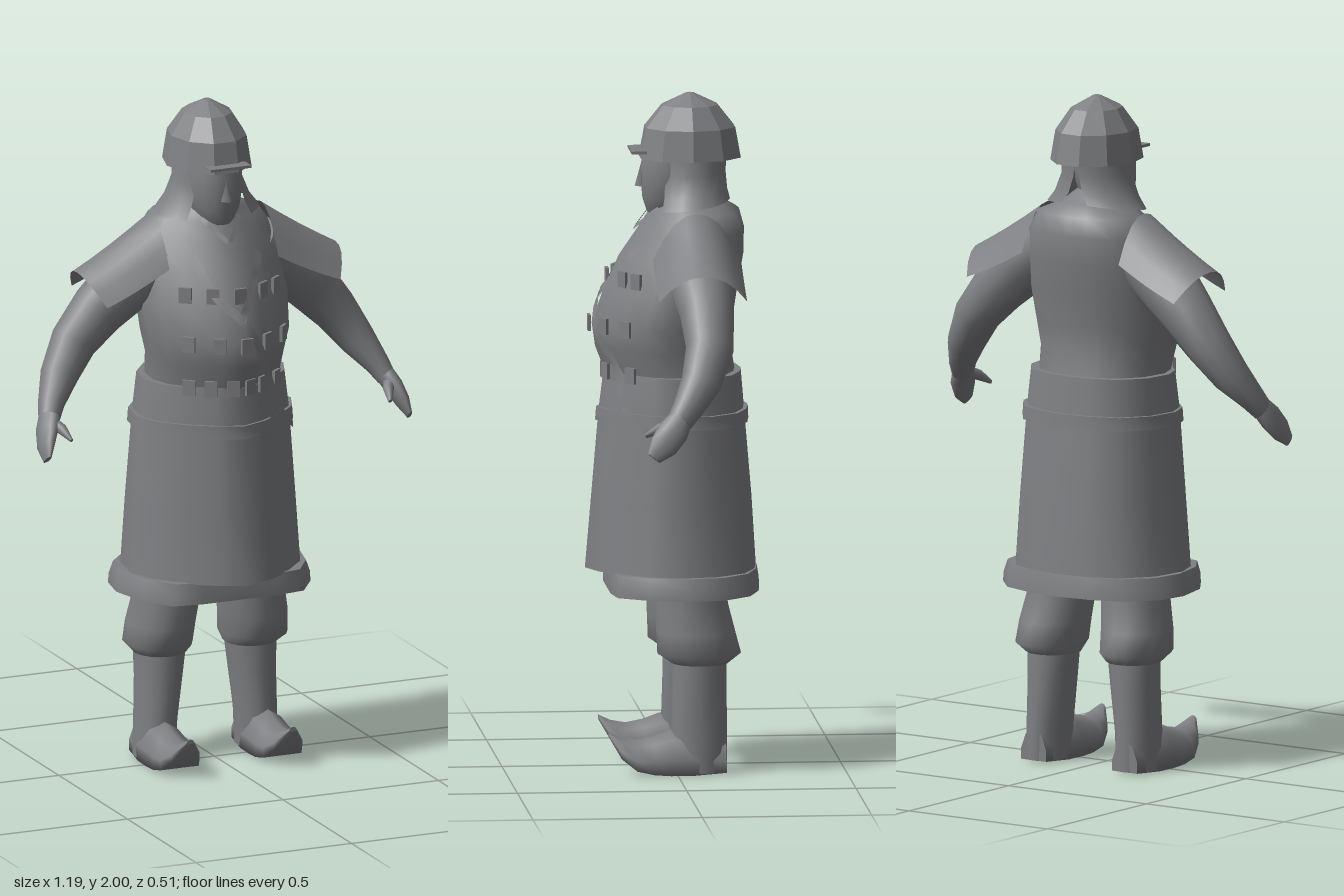
import * as THREE from 'three';

const grey = new THREE.MeshStandardMaterial({ color: 0x7f8083, side: THREE.DoubleSide });
grey.name = 'plain grey';

// Skin a list of equal-length point rows; closed rows join end to end, caps fill both ends.
function skin(name, rows, { closed = true, caps = true, flat = false } = {}) {
  const n = rows[0].length, pos = rows.flat(2);
  let tris = [];
  for (let i = 0; i < rows.length - 1; i++) {
    for (let j = 0; j < (closed ? n : n - 1); j++) {
      const a = i * n + j, b = i * n + (j + 1) % n;
      tris.push([a, b, a + n], [b, b + n, a + n]);
    }
  }
  if (closed && caps) {
    [rows[0], rows[rows.length - 1]].forEach((row, end) => {
      const base = pos.length / 3;
      row.forEach(p => pos.push(...p));
      for (let k = 0; k < 3; k++) pos.push(row.reduce((s, p) => s + p[k], 0) / n);
      for (let j = 0; j < n; j++) {
        const k = (j + 1) % n;
        tris.push(end ? [base + j, base + k, base + n] : [base + k, base + j, base + n]);
      }
    });
  }
  // Turn faces outward using the enclosed volume
  if (closed) {
    const v = i => new THREE.Vector3().fromArray(pos, i * 3);
    const c = v(0);
    const vol = tris.reduce((s, [a, b, d]) => s + v(a).sub(c).dot(v(b).sub(c).cross(v(d).sub(c))), 0);
    if (vol < 0) tris = tris.map(([a, b, d]) => [a, d, b]);
  }
  let geo = new THREE.BufferGeometry();
  geo.setAttribute('position', new THREE.Float32BufferAttribute(pos, 3));
  geo.setIndex(tris.flat());
  if (flat) geo = geo.toNonIndexed();
  geo.computeVertexNormals();
  const mesh = new THREE.Mesh(geo, grey);
  mesh.name = name;
  return mesh;
}

// Half outlines of the body, front to back: a ridged front and a flat front
const ridged = [[0, 1], [.3, .87], [.62, .64], [.88, .34], [1, 0], [.94, -.45], [.7, -.8], [.35, -.95], [0, -1]];
const flatFront = [[0, 1], [.4, 1], [.7, .94], [.9, .55], [1, 0], [.94, -.45], [.7, -.8], [.35, -.95], [0, -1]];
const rounded = Array.from({ length: 9 }, (_, i) => [Math.sin(i * Math.PI / 8), Math.cos(i * Math.PI / 8)]);

// Horizontal ring from [y, half width, front z, back z]
function ring(half, [y, w, zf, zb]) {
  const full = [...half, ...half.slice(1, -1).reverse().map(([u, v]) => [-u, v])];
  const mid = (zf + zb) / 2, d = (zf - zb) / 2;
  return full.map(([u, v]) => [u * w, y, mid + v * d]);
}
const body = (name, half, sections, options) => skin(name, sections.map(s => ring(half, s)), options);

const torsoSections = [
  [1.16, .2, .19, -.19], [1.25, .207, .225, -.175], [1.32, .224, .235, -.18], [1.42, .232, .2, -.195],
  [1.52, .22, .155, -.213], [1.6, .205, .1, -.215], [1.655, .17, .065, -.2], [1.685, .1, .045, -.15], [1.72, .065, .04, -.1],
];
const skirtSections = [[.59, .27, .255, -.25], [.8, .256, .237, -.237], [1.06, .237, .215, -.215], [1.18, .223, .2, -.205]];

// Front surface of the clothing, used to lay straps and plates on it
function frontZ(x, y) {
  const table = y > 1.18 ? torsoSections : skirtSections;
  let i = 0;
  while (i < table.length - 2 && table[i + 1][0] < y) i++;
  const t = (y - table[i][0]) / (table[i + 1][0] - table[i][0]);
  const [, w, zf, zb] = table[i].map((a, k) => a + (table[i + 1][k] - a) * t);
  const u = Math.min(Math.abs(x) / w, .99);
  let j = 0;
  while (ridged[j + 1][0] < u) j++;
  const [a, b] = [ridged[j], ridged[j + 1]];
  const v = a[1] + (b[1] - a[1]) * (u - a[0]) / (b[0] - a[0]);
  return (zf + zb) / 2 + v * (zf - zb) / 2;
}

// Flat band following the clothing along [x, y] points
function strap(name, points, width) {
  const curve = new THREE.CatmullRomCurve3(points.map(([x, y]) => new THREE.Vector3(x, y, 0)));
  const rows = [];
  for (let i = 0; i <= 20; i++) {
    const p = curve.getPoint(i / 20), t = curve.getTangent(i / 20);
    rows.push([-1, 1].map(s => {
      const x = p.x - s * t.y * width / 2, y = p.y + s * t.x * width / 2;
      return [x, y, frontZ(x, y) + (y > 1.2 ? .012 : .02)];
    }));
  }
  return skin(name, rows, { closed: false });
}

// Round limb along [x, y, z, thickness, depth] stations
function limb(name, stations, side) {
  const pts = stations.map(s => new THREE.Vector3(s[0] * side, s[1], s[2]));
  const rows = stations.map((s, i) => {
    const t = pts[Math.min(i + 1, pts.length - 1)].clone().sub(pts[Math.max(i - 1, 0)]).normalize();
    const b = new THREE.Vector3(0, 0, 1).addScaledVector(t, -t.z).normalize();
    const n = t.clone().cross(b);
    return Array.from({ length: 12 }, (_, j) => {
      const a = j * Math.PI / 6;
      return pts[i].clone().addScaledVector(n, Math.cos(a) * s[3]).addScaledVector(b, Math.sin(a) * s[4]).toArray();
    });
  });
  return skin(name, rows);
}

// Upright leg part from [y, centre x, half width, front z, back z]
const legPart = (name, side, sections) => skin(name, sections.map(([y, cx, ...r]) =>
  ring(rounded, [y, ...r]).map(([x, h, z]) => [x + cx * side, h, z])));

export function createModel() {
  const model = new THREE.Group();
  model.name = 'armouredGuard';

  // Robe
  model.add(body('torso', ridged, torsoSections));
  model.add(body('skirt', ridged, skirtSections));
  model.add(body('belt', ridged, [[1.03, .25, .225, -.228], [1.07, .247, .222, -.226]]));
  model.add(body('hem', flatFront, [[.53, .3, .19, -.26], [.56, .298, .19, -.258], [.595, .285, .185, -.252]]));

  // Head
  model.add(body('head', rounded, [[1.62, .025, .055, -.06], [1.65, .05, .072, -.07], [1.69, .073, .085, -.09],
    [1.74, .083, .09, -.11], [1.79, .085, .09, -.12], [1.84, .08, .08, -.12]]));
  const nose = new THREE.Mesh(new THREE.ConeGeometry(.018, .065, 4), grey);
  nose.name = 'nose';
  nose.position.set(0, 1.757, .09);
  model.add(nose);

  // Ten-sided helmet with a small brim
  const helmetRows = [[1.81, .128, .155], [1.9, .114, .138], [1.965, .072, .085], [2, .012, .012]].map(([y, rx, rz]) =>
    Array.from({ length: 10 }, (_, j) => {
      const a = (j + .5) * Math.PI / 5;
      return [Math.sin(a) * rx, y, -.055 + Math.cos(a) * rz];
    }));
  model.add(skin('helmet', helmetRows, { flat: true }));
  const brim = new THREE.Mesh(new THREE.BoxGeometry(.13, .008, .045), grey);
  brim.name = 'brim';
  brim.position.set(0, 1.832, .1);
  model.add(brim);

  for (const side of [1, -1]) {
    const label = side > 0 ? 'left' : 'right';

    // Flared neck guard, one half each side with a notch at the back
    const guardRows = [[1.83, .1, .11], [1.76, .105, .105], [1.7, .13, .11], [1.66, .158, .12]].map(([y, rx, rz], k) =>
      Array.from({ length: 9 }, (_, j) => {
        const a = THREE.MathUtils.lerp(.72, Math.PI - .1 * k, j / 8);
        return [side * Math.sin(a) * rx, y + .01 * k * j / 8, -.055 + Math.cos(a) * rz];
      }));
    model.add(skin(label + 'NeckGuard', guardRows, { closed: false }));

    // Crossed collar edge
    model.add(strap(label + 'Collar', [[side * .06, 1.665], [side * .03, 1.63], [0, 1.6]], .014));

    // Arched shoulder plate
    const plateRows = [0, .25, .5, .75, 1].map(s => Array.from({ length: 9 }, (_, j) => {
      const t = j / 4 - 1, drop = Math.abs(t) ** 2.2;
      return [side * (.175 + s * (.24 - .04 * drop)), 1.665 - .15 * s - .02 * s * (1 - s) - drop * (.135 - .055 * s),
        -.06 + t * .13];
    }));
    model.add(skin(label + 'ShoulderPlate', plateRows, { closed: false }));

    // Arm, hand and thumb
    model.add(limb(label + 'Arm', [[.15, 1.55, -.06, .08, .1], [.26, 1.465, -.065, .093, .095], [.34, 1.39, -.075, .083, .08],
      [.42, 1.3, -.075, .069, .07], [.48, 1.21, -.045, .055, .06], [.525, 1.14, 0, .037, .045], [.542, 1.105, .025, .03, .038]], side));
    model.add(limb(label + 'Hand', [[.538, 1.115, .02, .03, .036], [.557, 1.08, .045, .028, .046],
      [.573, 1.04, .075, .02, .042], [.582, 1.005, .105, .007, .022]], side));
    model.add(limb(label + 'Thumb', [[.545, 1.1, .04, .02, .02], [.525, 1.085, .08, .016, .016], [.512, 1.06, .122, .005, .007]], side));

    // Baggy trouser leg and boot
    model.add(legPart(label + 'Trouser', side, [[.6, .135, .1, .06, -.15], [.5, .135, .1, .062, -.155],
      [.42, .148, .102, .058, -.175], [.355, .153, .1, .055, -.192], [.325, .145, .08, .012, -.155]]));
    model.add(legPart(label + 'BootShaft', side, [[.36, .145, .08, .01, -.15], [.25, .15, .07, .012, -.15],
      [.12, .16, .062, .015, -.15], [.005, .164, .06, .01, -.15]]));
    const footRows = [[-.145, .005, .1, .045], [-.05, 0, .13, .06], [.02, 0, .128, .062], [.07, .004, .11, .064],
      [.12, .015, .1, .062], [.165, .05, .108, .045], [.2, .11, .124, .012]].map(([z, lo, hi, w]) =>
      [[-1, 0], [-1, .35], [-.65, .8], [0, 1], [.65, .8], [1, .35], [1, 0]].map(([u, v]) =>
        [side * .165 + u * w, lo + (hi - lo) * v, z]));
    model.add(skin(label + 'BootFoot', footRows));
  }

  // Straps tied across the chest and hanging from the belt
  model.add(strap('longStrap', [[-.11, 1.57], [-.07, 1.46], [0, 1.385], [.07, 1.26], [.13, 1.12], [.15, .98], [.175, .74]], .026));
  model.add(strap('shortStrap', [[.1, 1.56], [.05, 1.48], [-.01, 1.39]], .026));
  model.add(strap('innerTie', [[.135, 1.1], [.09, 1.05], [.065, .955]], .018));
  model.add(strap('outerTie', [[.135, 1.1], [.18, 1.05], [.235, 1.0]], .018));

  // Rows of small armour plates
  const plates = new THREE.Group();
  plates.name = 'chestPlates';
  const plateShape = new THREE.BoxGeometry(.038, .047, .009);
  const lines = [[1.46, [-.145, -.075, 0, .09, .145]], [1.32, [-.15, -.075, 0, .08, .155]], [1.18, [-.14, -.085, -.025, .03, .08, .14]]];
  for (const [y, xs] of lines) {
    for (const x of xs) {
      const plate = new THREE.Mesh(plateShape, grey);
      plate.name = 'chestPlate';
      plate.position.set(x, y, frontZ(x, y) + .008);
      plate.rotation.y = Math.atan2(frontZ(x - .02, y) - frontZ(x + .02, y), .04);
      plates.add(plate);
    }
  }
  model.add(plates);
  return model;
}
